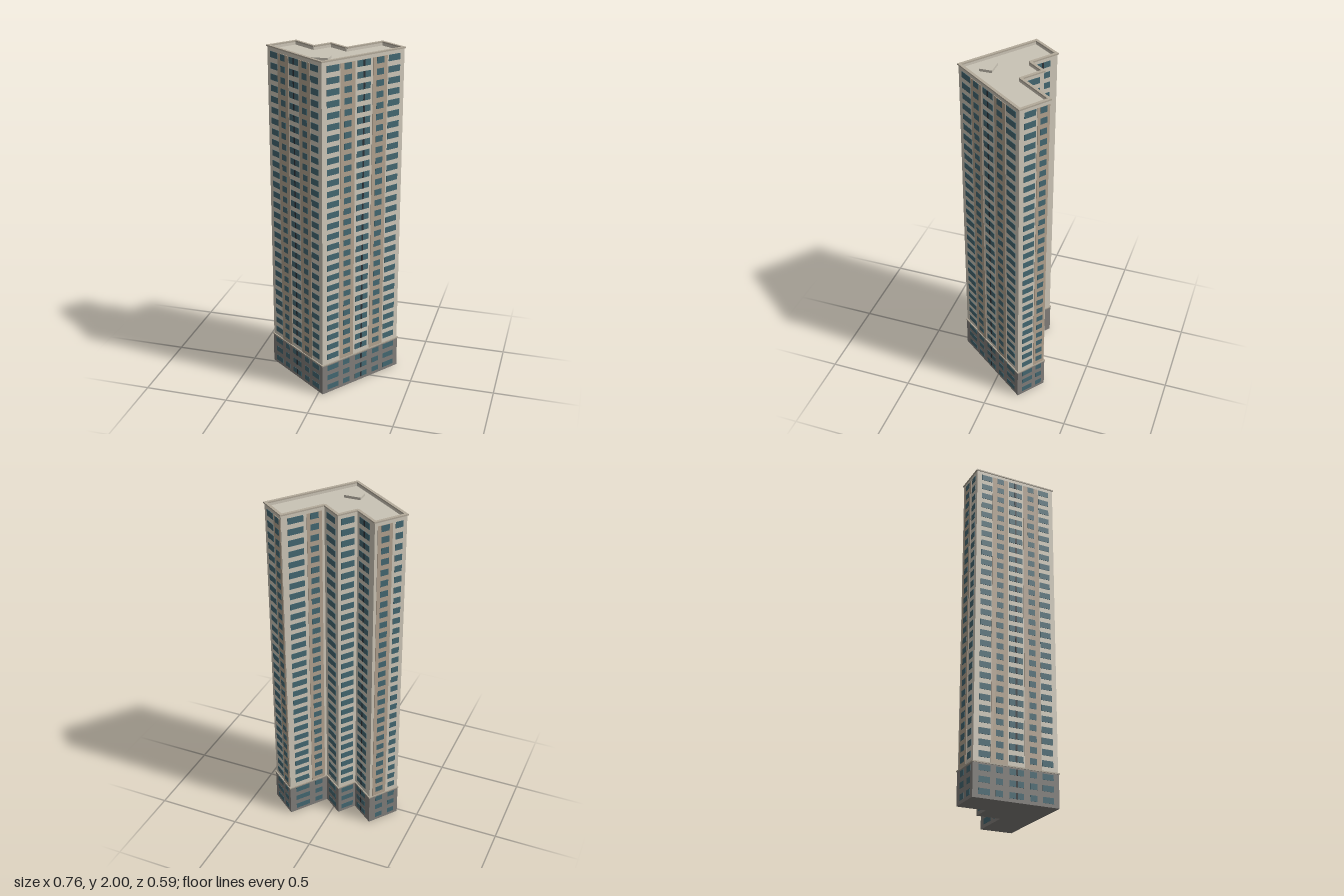
import * as THREE from 'three';
import { mergeGeometries } from 'three/addons/utils/BufferGeometryUtils.js';

const mat = (name, color) => Object.assign(new THREE.MeshStandardMaterial({ color }), { name });

// Footprint in the tower's own turned axes, walked left to right as seen from outside
const PLAN = [
  [-0.307, -0.209], [0.194, -0.209], [0.194, 0.359], [0.006, 0.359],
  [0.006, 0.104], [-0.136, 0.104], [-0.136, -0.014], [-0.307, -0.014],
];
const POINTS = PLAN.map(([a, b]) => new THREE.Vector2(a * 0.798 + b * 0.602, a * 0.602 - b * 0.798));
const N = POINTS.length;

// Window columns per wall: [offset from wall centre, window width, band width (0 = plain), split]
const COLUMNS = [
  [[-0.187, 0.067, 0], [-0.1, 0.042, 0.1], [0, 0.085, 0, 1], [0.1, 0.042, 0.1], [0.187, 0.067, 0]],
  [[-0.21, 0.082, 0], [-0.111, 0.05, 0.1], [0, 0.09, 0, 1], [0.111, 0.05, 0.1], [0.212, 0.082, 0]],
  [[-0.03, 0.07, 0], [0.052, 0.042, 0.075]],
  [[-0.045, 0.092, 0], [0.066, 0.05, 0.09]],
  [[0, 0.088, 0]],
  [[0, 0.08, 0]],
  [[-0.012, 0.1, 0, 1]],
  [[-0.035, 0.048, 0.09], [0.05, 0.045, 0]],
];

// Outward unit normal of the wall that starts at corner i
function normal(i) {
  const d = POINTS[(i + 1) % N].clone().sub(POINTS[i]).normalize();
  return new THREE.Vector2(-d.y, d.x);
}

// Footprint moved outward by d
const grow = (d) => POINTS.map((p, i) =>
  p.clone().addScaledVector(normal(i), d).addScaledVector(normal((i + N - 1) % N), d));

// Solid or ring-shaped slab standing between two heights
function slab(d, y0, y1, inner) {
  const flip = (pts) => pts.map((p) => new THREE.Vector2(p.x, -p.y));
  const shape = new THREE.Shape(flip(grow(d)));
  if (inner !== undefined) shape.holes.push(new THREE.Path(flip(grow(inner))));
  return new THREE.ExtrudeGeometry(shape, { depth: y1 - y0, bevelEnabled: false })
    .rotateX(-Math.PI / 2).translate(0, y0, 0);
}

const box = (w, h, d, x, y, z) => new THREE.BoxGeometry(w, h, d).translate(x, y, z);

export function createModel() {
  const model = new THREE.Group();
  model.name = 'apartmentTower';
  const wall = mat('paleWall', 0xd0c9ba);
  const tan = mat('tanBand', 0xb3a390);
  const stone = mat('greyBase', 0x827f7b);
  const glass = mat('tealGlass', 0x446872);
  const dark = mat('darkTrim', 0x2c3136);
  const roofMat = mat('roof', 0xc9c3b5);
  const capMat = mat('parapetCap', 0xb3aa9a);

  const add = (name, geometry, material, parent = model) => {
    const mesh = new THREE.Mesh(geometry, material);
    mesh.name = name;
    parent.add(mesh);
  };

  // Main volumes
  add('base', slab(0.003, 0, 0.188), stone);
  add('baseLedge', slab(0.007, 0.188, 0.195), capMat);
  add('towerBody', slab(0, 0.195, 1.972), wall);
  add('roofDeck', slab(-0.009, 1.972, 1.976), roofMat);
  add('parapet', slab(0, 1.972, 1.992, -0.009), wall);
  add('roofHatch', box(0.093, 0.015, 0.07, -0.0165, 1.983, 0.132), roofMat);

  // Storey heights: three in the base, twenty-eight above
  const baseRows = [0.036, 0.1, 0.163];
  const rows = Array.from({ length: 28 }, (_, i) => 0.238 + i * 0.06352);

  COLUMNS.forEach((columns, i) => {
    const a = POINTS[i], b = POINTS[(i + 1) % N], n = normal(i);
    const side = new THREE.Group();
    side.name = `facade${i + 1}`;
    side.position.set((a.x + b.x) / 2, 0, (a.y + b.y) / 2);
    side.rotation.y = Math.atan2(n.x, n.y);
    model.add(side);

    const panes = [], bands = [], slots = [];
    for (const [x, w, band, split] of columns) {
      if (band) bands.push(box(band, 1.777, 0.004, x, 1.0835, 0.001));
      const z = band ? 0.003 : 0.001;
      for (const y of rows) {
        panes.push(box(w, 0.035, 0.003, x, y, z));
        if (split) slots.push(box(0.012, 0.035, 0.003, x, y, z + 0.001));
      }
      for (const y of baseRows) {
        panes.push(box(w, 0.033, 0.003, x, y, 0.003));
        if (split) slots.push(box(0.012, 0.033, 0.003, x, y, 0.004));
      }
    }
    add('windows', mergeGeometries(panes), glass, side);
    if (bands.length) add('verticalBands', mergeGeometries(bands), tan, side);
    if (slots.length) add('windowDividers', mergeGeometries(slots), dark, side);

    // Coping bar along the parapet, crossing its neighbours at the corners
    add('coping', box(a.distanceTo(b) + 0.01, 0.008, 0.017, 0, 1.996, -0.0035), capMat, side);
  });
  return model;
}
